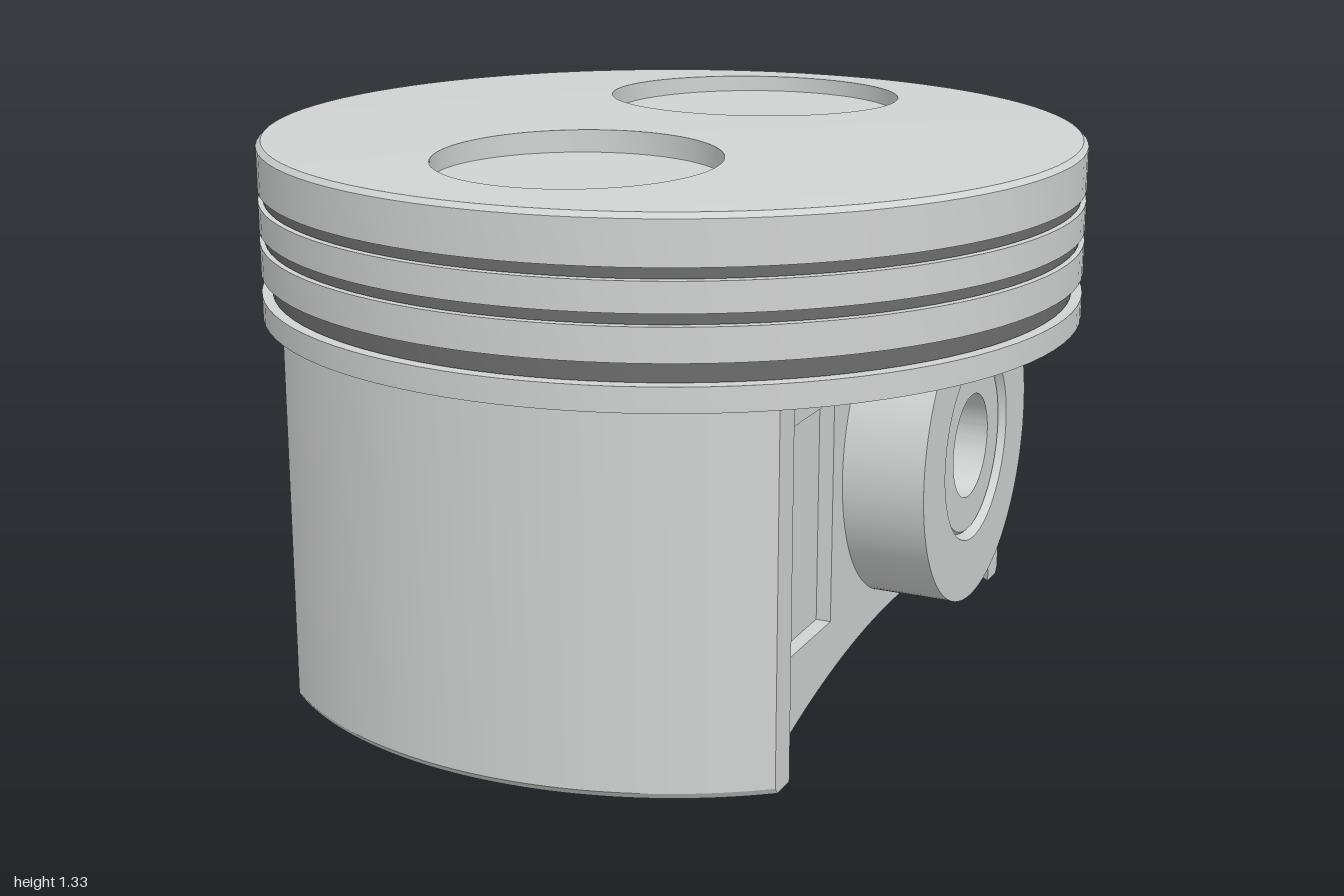
import * as THREE from 'three';
import { toCreasedNormals } from 'three/addons/utils/BufferGeometryUtils.js';

const metal = new THREE.MeshStandardMaterial({ color: 0xd1d2d2 });
metal.name = 'cast metal';
const darkSteel = new THREE.MeshStandardMaterial({ color: 0x6c6c6c });
darkSteel.name = 'dark ring steel';

const SEG = 96;
const PIN_Y = 0.605;

function part(name, geometry, parent, material = metal) {
  const mesh = new THREE.Mesh(toCreasedNormals(geometry, Math.PI / 7), material);
  mesh.name = name;
  parent.add(mesh);
  return mesh;
}

function lathe(points) {
  return new THREE.LatheGeometry(points.map(([r, y]) => new THREE.Vector2(r, y)), SEG);
}

function extrude(shape, depth, steps = 1) {
  return new THREE.ExtrudeGeometry(shape, { depth, steps, bevelEnabled: false, curveSegments: 48 });
}

function circlePath(r, x = 0, y = 0) {
  return new THREE.Path().absarc(x, y, r, 0, Math.PI * 2, true);
}

// Half of the domed crown top (z > 0) with a round valve pocket sunk into it
function crownHalf(pocketZ, pocketR) {
  const R = 0.988, floorY = 1.27, rows = 8, half = SEG / 2;
  const dome = (x, z) => 1.305 + 0.02 * (1 - (x * x + z * z) / (R * R));
  const edge = [];
  for (let i = 0; i < half; i++) {
    const a = Math.PI * i / half;
    edge.push([R * Math.cos(a), R * Math.sin(a)]);
  }
  for (let i = 0; i <= half; i++) edge.push([R * (2 * i / half - 1), 0]);
  const pos = [], index = [], n = edge.length;
  for (let j = -1; j <= rows; j++) {
    for (const [ex, ez] of edge) {
      const d = Math.hypot(ex, ez - pocketZ);
      const k = pocketR / d + (1 - pocketR / d) * Math.max(j, 0) / rows;
      const x = ex * k, z = pocketZ + (ez - pocketZ) * k;
      pos.push(x, j < 0 ? floorY : dome(x, z), z);
    }
  }
  for (let j = 0; j <= rows; j++) {
    for (let i = 0; i < n - 1; i++) {
      const a = j * n + i, c = a + n;
      index.push(a, a + 1, c, a + 1, c + 1, c);
    }
  }
  // Pocket floor as a fan
  pos.push(0, floorY, pocketZ);
  const centre = pos.length / 3 - 1;
  for (let i = 0; i < n - 1; i++) index.push(centre, i + 1, i);
  const g = new THREE.BufferGeometry();
  g.setAttribute('position', new THREE.Float32BufferAttribute(pos, 3));
  g.setIndex(index);
  g.computeVertexNormals();
  return g;
}

// Curved skirt panel, cut flat at the sides, with a small chamfer at the foot
function skirtPanel() {
  const R = 0.996, r = 0.935, top = 0.885;
  const a = Math.acos(0.62 / R), b = Math.acos(0.62 / r);
  const s = new THREE.Shape();
  s.absarc(0, 0, R, a, Math.PI - a, false);
  s.absarc(0, 0, r, Math.PI - b, b, true);
  const g = extrude(s, top, 2).rotateX(Math.PI / 2).translate(0, top, 0);
  const p = g.attributes.position;
  for (let i = 0; i < p.count; i++) {
    const x = p.getX(i), y = p.getY(i), z = p.getZ(i);
    if (y > 0.1 && y < 0.8) p.setY(i, 0.016);
    if (y < 0.01) {
      p.setY(i, 0);
      if (Math.hypot(x, z) > 0.98) p.setZ(i, z - 0.012);
    }
  }
  return g;
}

// Side wall outline with an arched foot and a hole for the pin boss
function wallShape(windows) {
  const s = new THREE.Shape(), w = 0.76, R = 2.4;
  s.moveTo(w, 0.885);
  s.lineTo(-w, 0.885);
  for (let i = 0; i <= 32; i++) {
    const z = -w + 2 * w * i / 32;
    s.lineTo(z, 0.19 - R + Math.sqrt(R * R - z * z));
  }
  s.holes.push(circlePath(0.27, 0, PIN_Y));
  if (windows) {
    for (const m of [-1, 1]) {
      const pts = [[0.43, 0.28], [0.7, 0.28], [0.7, 0.81], [0.43, 0.81]];
      s.holes.push(new THREE.Path(pts.map(([z, y]) => new THREE.Vector2(m * z, y))));
    }
  }
  return s;
}

export function createModel() {
  const model = new THREE.Group();
  model.name = 'piston';

  // Ring belt with three grooves, each holding a dark ring
  const profile = [[0.94, 0.88], [1, 0.88]];
  for (const [lo, hi, ringR] of [[0.938, 0.988, 0.975], [1.066, 1.094, 0.988], [1.163, 1.191, 0.988]]) {
    profile.push([1, lo], [0.96, lo], [0.96, hi], [1, hi]);
    part('ring', lathe([[0.96, lo + 0.002], [ringR, lo + 0.002], [ringR, hi - 0.002], [0.96, hi - 0.002]]), model, darkSteel);
  }
  profile.push([1, 1.293], [0.988, 1.305]);
  part('ringBelt', lathe(profile), model);

  // Crown top halves with the two valve pockets
  part('crownFront', crownHalf(0.498, 0.332), model);
  part('crownBack', crownHalf(0.505, 0.372).rotateY(Math.PI), model);

  // Crown underside, hollow between the side walls and above the bosses
  const core = new THREE.Shape();
  core.absarc(0, 0, 0.945, 0, Math.PI * 2, false);
  const c = Math.acos(0.52 / 0.86), o = Math.acos(0.605 / 0.92);
  const cavity = new THREE.Path();
  cavity.absarc(0, 0, 0.86, c, Math.PI - c, false);
  cavity.absarc(0, 0, 0.86, Math.PI + c, 2 * Math.PI - c, false);
  cavity.closePath();
  core.holes.push(cavity);
  for (const turn of [0, Math.PI]) {
    const pocket = new THREE.Path();
    pocket.absarc(0, 0, 0.92, turn - o, turn + o, false);
    pocket.closePath();
    core.holes.push(pocket);
  }
  part('crownUnderside', extrude(core, 0.19).rotateX(Math.PI / 2).translate(0, 1.07, 0), model);
  part('cavityCeiling', new THREE.CircleGeometry(0.935, 64).rotateX(Math.PI / 2).translate(0, 1.065, 0), model);

  // Front and back skirts, left and right walls with pin bosses
  for (const turn of [0, Math.PI]) {
    const side = new THREE.Group();
    side.name = turn ? 'backAndRightSide' : 'frontAndLeftSide';
    side.rotation.y = turn;
    part('skirt', skirtPanel(), side);
    part('wallInner', extrude(wallShape(false), 0.05).rotateY(Math.PI / 2).translate(0.52, 0, 0), side);
    part('wallOuter', extrude(wallShape(true), 0.035).rotateY(Math.PI / 2).translate(0.57, 0, 0), side);
    const boss = lathe([[0.214, 0.26], [0.372, 0.26], [0.372, 0.8], [0.226, 0.8], [0.214, 0.78], [0.214, 0.26]]);
    part('pinBoss', boss.rotateZ(-Math.PI / 2).translate(0, PIN_Y, 0), side);
    model.add(side);
  }

  // Hollow pin running through both bosses
  const pin = lathe([[0.125, -0.785], [0.208, -0.785], [0.215, -0.778], [0.215, 0.778], [0.208, 0.785],
    [0.125, 0.785], [0.125, -0.785]]);
  part('pin', pin.rotateZ(-Math.PI / 2).translate(0, PIN_Y, 0), model);

  return model;
}
